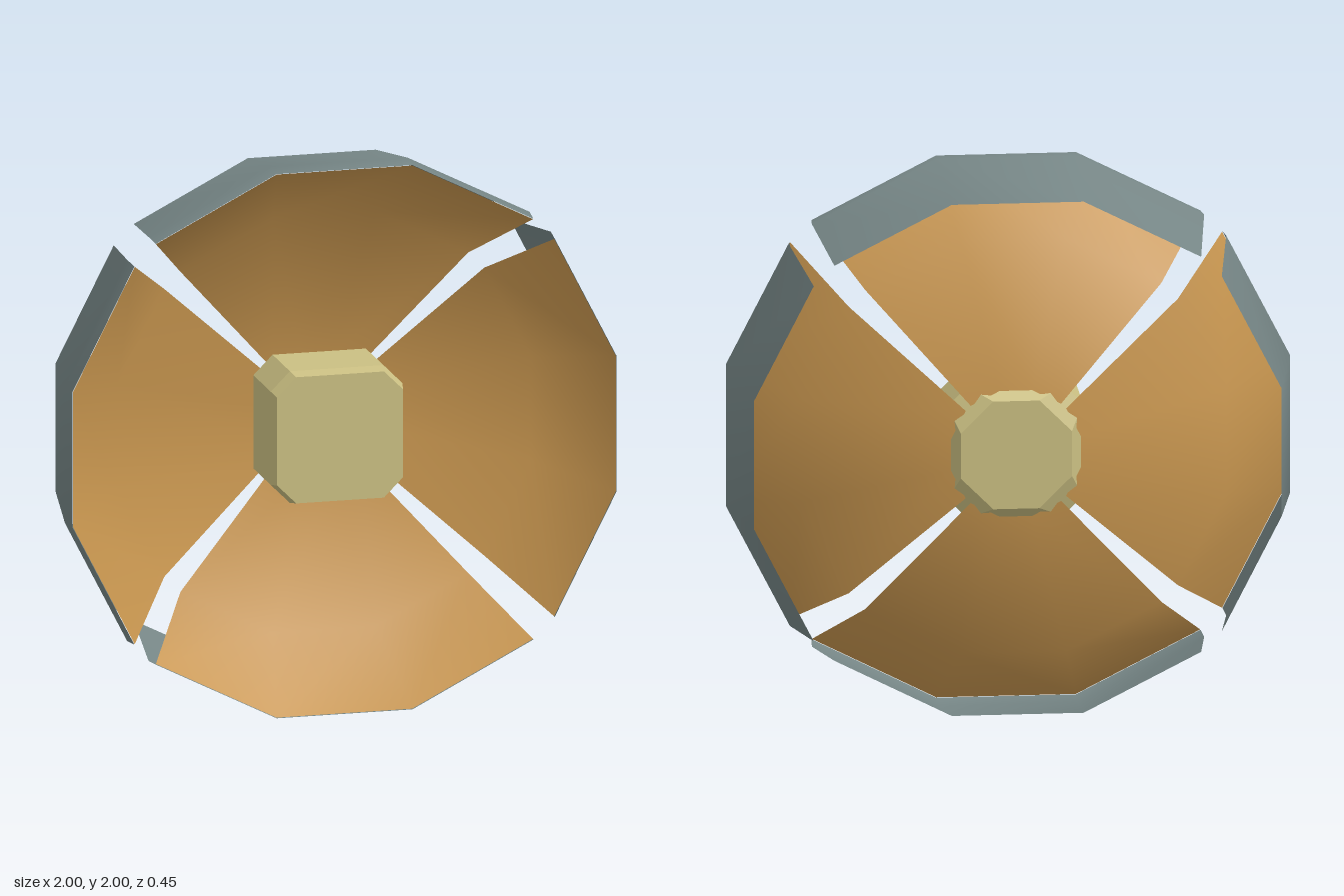
import * as THREE from 'three';

const rimColor = new THREE.MeshStandardMaterial({ color: 0x768686, side: THREE.DoubleSide });
rimColor.name = 'greyRim';
const dishColor = new THREE.MeshStandardMaterial({ color: 0xc8964f, side: THREE.DoubleSide });
dishColor.name = 'ochreDish';
const hubColor = new THREE.MeshStandardMaterial({ color: 0xcabf82 });
hubColor.name = 'paleHub';

// Skin between rings of equal point count, ordered front to back
function loft(rings, closed) {
  const n = rings[0].length, index = [];
  for (let i = 0; i < rings.length - 1; i++) {
    for (let j = 0; j < (closed ? n : n - 1); j++) {
      const k = (j + 1) % n, a = i * n + j, b = i * n + k;
      index.push(a, a + n, b + n, a, b + n, b);
    }
  }
  if (closed) {
    const last = (rings.length - 1) * n;
    for (let j = 1; j < n - 1; j++) {
      index.push(0, j, j + 1, last, last + j + 1, last + j);
    }
  }
  const geometry = new THREE.BufferGeometry();
  geometry.setAttribute('position', new THREE.Float32BufferAttribute(rings.flat(2), 3));
  geometry.setIndex(index);
  return geometry;
}

// Outline of one quarter, scaled toward the axis for each [scale, z]
const arc = [[0.695, 0.773], [0.25, 1], [-0.25, 1], [-0.695, 0.773]];
function quarter(profile) {
  const geometry = loft(profile.map(([s, z]) => arc.map(([x, y]) => [x * s, y * s, z])), false);
  geometry.computeVertexNormals();
  return geometry;
}

// Square with cut corners
function octagon(half, cut, z) {
  const c = half - cut;
  return [[half, -c], [half, c], [c, half], [-c, half], [-half, c], [-half, -c], [-c, -half], [c, -half]]
    .map(([x, y]) => [x, y, z]);
}

export function createModel() {
  const model = new THREE.Group();
  const wheel = new THREE.Group();
  wheel.name = 'wheel';
  wheel.position.y = 1;
  model.add(wheel);

  const rim = quarter([[0.992, 0.227], [1, 0.15], [0.935, -0.227]]);
  const dish = quarter([[0.99, 0.225], [0.755, -0.055], [0.23, -0.155]]);

  // Four separate quarters, each an outer band and a dished panel
  for (let i = 0; i < 4; i++) {
    const section = new THREE.Group();
    section.name = 'quarterSection';
    section.rotation.z = i * Math.PI / 2;
    const band = new THREE.Mesh(rim, rimColor);
    band.name = 'rimBand';
    const panel = new THREE.Mesh(dish, dishColor);
    panel.name = 'dishPanel';
    section.add(band, panel);
    wheel.add(section);
  }

  // Faceted centre block, tapering to a round back
  const hubGeometry = loft([
    octagon(0.23, 0.07, 0.165),
    octagon(0.24, 0.07, 0.115),
    octagon(0.24, 0.07, -0.125),
    octagon(0.197, 0.115, -0.175),
  ], true).toNonIndexed();
  hubGeometry.computeVertexNormals();
  const hub = new THREE.Mesh(hubGeometry, hubColor);
  hub.name = 'hub';
  wheel.add(hub);

  return model;
}
